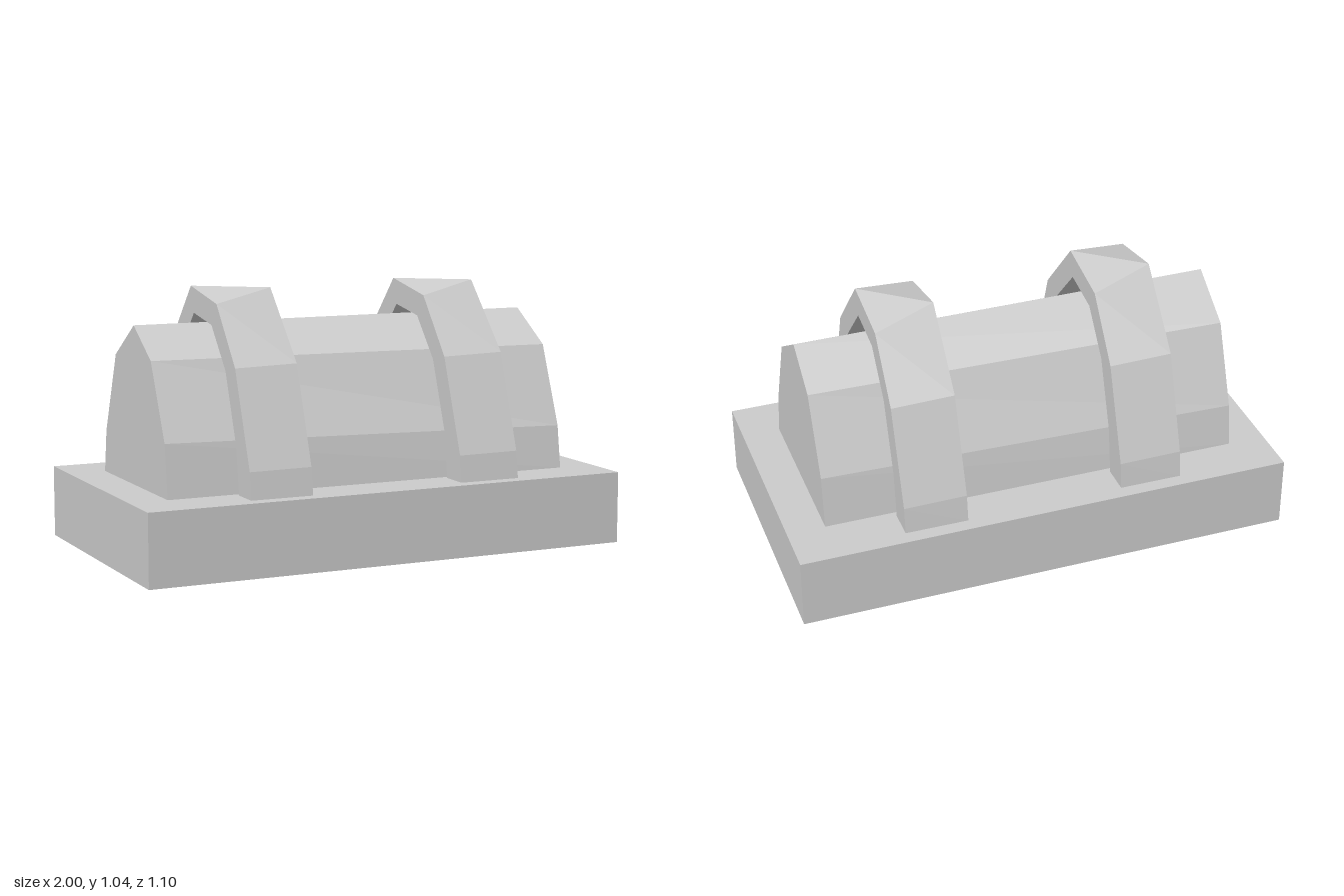
import * as THREE from 'three';

const material = new THREE.MeshStandardMaterial({ color: 0xcccccc, flatShading: true });
const BASE_TOP = 0.285;

// The opposite end of each part is the same profile turned front to back
const turned = (points) => points.map(([z, y]) => [-z, y]).reverse();

// Closed solid between two [z, y] outlines; outlines run front, over the top, to the back
function loft(name, right, left, xRight, xLeft) {
  const pos = [];
  const tri = (...corners) => corners.forEach((c) => pos.push(...c));
  const R = right.map(([z, y]) => [xRight, y, z]);
  const L = left.map(([z, y]) => [xLeft, y, z]);

  // side walls
  const n = R.length;
  for (let i = 0; i < n; i++) {
    const j = (i + 1) % n;
    tri(L[i], L[j], R[j]);
    tri(L[i], R[j], R[i]);
  }

  // end caps, each triangle wound to face outwards
  for (const [ring, facesLeft] of [[L, true], [R, false]]) {
    const flat = ring.map(([, y, z]) => new THREE.Vector2(-z, y));
    for (const [a, b, c] of THREE.ShapeUtils.triangulateShape(flat, [])) {
      const ccw = THREE.ShapeUtils.area([flat[a], flat[b], flat[c]]) > 0;
      if (ccw === facesLeft) tri(ring[a], ring[b], ring[c]);
      else tri(ring[a], ring[c], ring[b]);
    }
  }

  const geometry = new THREE.BufferGeometry();
  geometry.setAttribute('position', new THREE.Float32BufferAttribute(pos, 3));
  geometry.computeVertexNormals();
  const mesh = new THREE.Mesh(geometry, material);
  mesh.name = name;
  return mesh;
}

export function createModel() {
  const group = new THREE.Group();
  group.name = 'strappedBarrelOnBase';

  // rectangular base slab
  const base = new THREE.Mesh(new THREE.BoxGeometry(2, BASE_TOP, 1.1), material);
  base.name = 'base';
  base.position.y = BASE_TOP / 2;
  group.add(base);

  // faceted vaulted body
  const body = [
    [0.355, BASE_TOP], [0.33, 0.455], [0.205, 0.773], [-0.005, 0.906],
    [-0.188, 0.788], [-0.325, 0.493], [-0.35, BASE_TOP],
  ];
  group.add(loft('body', turned(body), body, -0.848, 0.848));

  // two slightly twisted arched straps over the body
  const outer = [
    [0.495, BASE_TOP], [0.48, 0.392], [0.348, 0.77], [0.1, 1.04],
    [-0.165, 0.99], [-0.345, 0.763], [-0.48, 0.39], [-0.493, BASE_TOP],
  ];
  const inner = [
    [0.378, BASE_TOP], [0.35, 0.47], [0.25, 0.745], [0.07, 0.936],
    [-0.112, 0.905], [-0.25, 0.743], [-0.35, 0.47], [-0.376, BASE_TOP],
  ];
  const ring = (o, i) => [...o, ...[...i].reverse()];
  const near = ring(outer, inner);
  const far = ring(turned(outer), turned(inner));
  for (const [name, x] of [['rightStrap', -0.445], ['leftStrap', 0.443]]) {
    group.add(loft(name, far, near, x - 0.126, x + 0.126));
  }

  return group;
}
